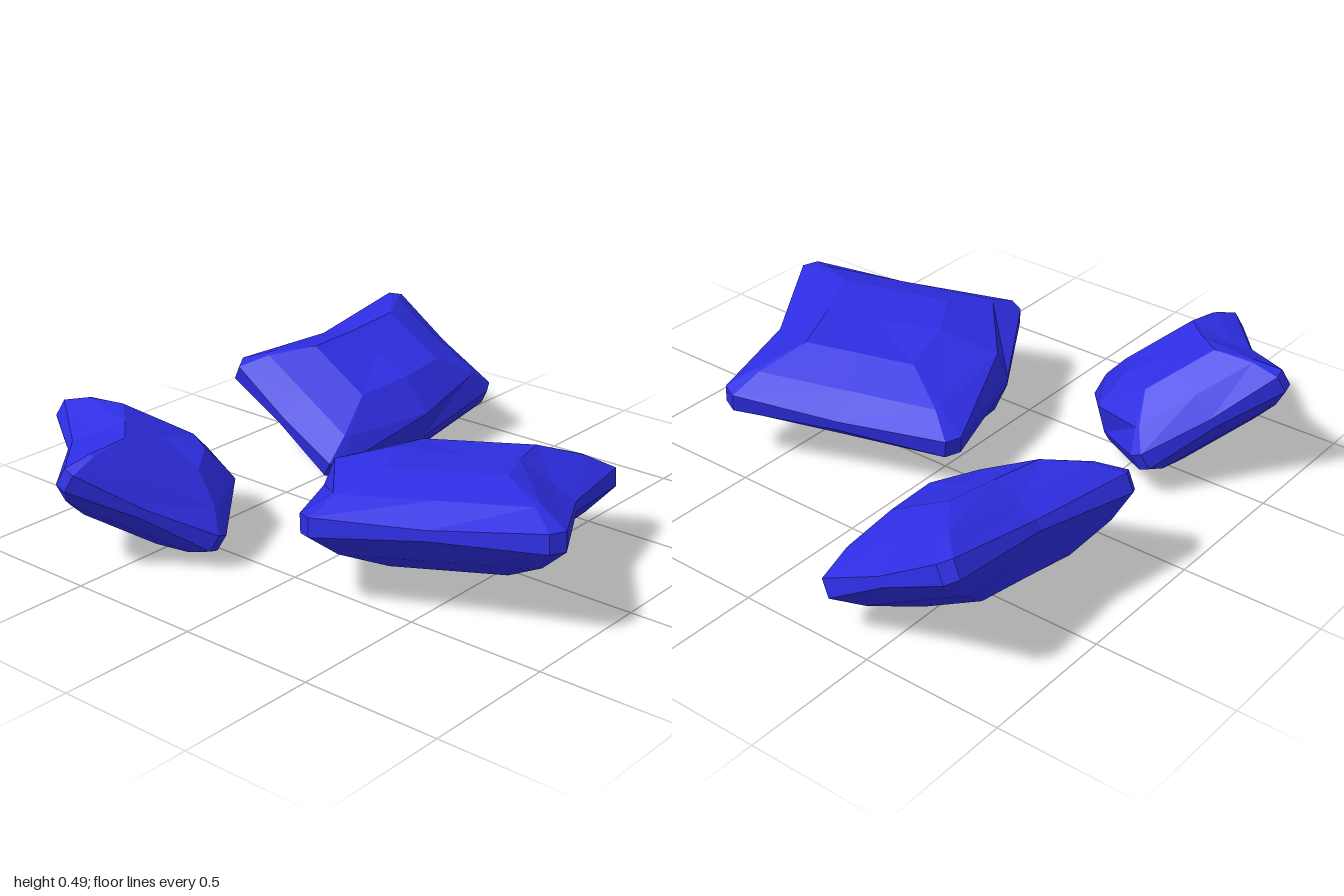
import * as THREE from 'three';

const material = new THREE.MeshStandardMaterial({ color: 0x2d2de2, flatShading: true });

// One closed loop of 12 points [v, u, height] around the cushion.
// cut = where the corner chamfer starts; front and back = v of those edge middles;
// heights = [corners, side middles, front middle, back middle].
function ring(scale, cut, front, back, [corner, side, hFront, hBack]) {
  const s = scale, k = scale * cut;
  return [
    [s, -k, corner], [front, 0, hFront], [s, k, corner],
    [k, s, corner], [0, s, side], [-k, s, corner],
    [-s, k, corner], [back, 0, hBack], [-s, -k, corner],
    [-k, -s, corner], [0, -s, side], [k, -s, corner],
  ];
}

// Low-poly cushion spanned by half-axes u and v around a centre.
// Its front edge is dented and its back edge bulges.
function cushion(name, centre, uAxis, vAxis, top, bottom) {
  const c = new THREE.Vector3(...centre);
  const u = new THREE.Vector3(...uAxis);
  const v = new THREE.Vector3(...vAxis);
  const n = new THREE.Vector3().crossVectors(v, u).normalize();
  const pos = [];
  const add = ([a, b, h]) => {
    const p = c.clone().addScaledVector(v, a).addScaledVector(u, b).addScaledVector(n, h);
    pos.push(p.x, p.y, p.z);
  };

  // Loops for the padded panels and the piped edge
  const panel = (h) => ring(0.48, 1, 0.46, -0.56, [h, h, h, h * 1.15]);
  const shoulder = (h) => ring(0.82, 0.95, 0.73, -1.08, [h * 0.6, h * 0.6, h * 0.45, h * 0.77]);
  const piping = (s) => ring(1.04, 0.9, 0.91, -1.18, [s * 0.033, s * 0.018, s * 0.018, s * 0.018]);
  const loops = [
    panel(-bottom), shoulder(-bottom), piping(-1), piping(1), shoulder(top), panel(top),
  ];
  loops.flat().forEach(add);
  add([0, 0, -bottom]);
  add([0, 0, top]);

  const index = [];
  const last = (loops.length - 1) * 12;
  for (let i = 0; i < 12; i++) {
    const k = (i + 1) % 12;
    for (let j = 0; j < last; j += 12) {
      index.push(j + i, j + k, j + 12 + k, j + i, j + 12 + k, j + 12 + i);
    }
    index.push(last + 12, k, i, last + 13, last + i, last + k);
  }

  const geometry = new THREE.BufferGeometry();
  geometry.setAttribute('position', new THREE.Float32BufferAttribute(pos, 3));
  geometry.setIndex(index);
  geometry.computeVertexNormals();
  const mesh = new THREE.Mesh(geometry, material);
  mesh.name = name;
  return mesh;
}

export function createModel() {
  const model = new THREE.Group();
  model.name = 'cushions';
  model.add(
    // large cushion lying almost flat at the front
    cushion('frontCushion', [-0.11, 0.25, 0.405], [0.385, -0.055, -0.155], [0.155, 0.028, 0.385], 0.147, 0.185),
    // two smaller cushions tilted up at the back
    cushion('leftCushion', [0.55, 0.245, -0.587], [-0.42, -0.042, -0.035], [0.008, 0.143, -0.247], 0.16, 0.158),
    cushion('rightCushion', [-0.625, 0.235, -0.6], [-0.18, -0.025, 0.205], [-0.19, 0.135, -0.16], 0.16, 0.158),
  );
  return model;
}
